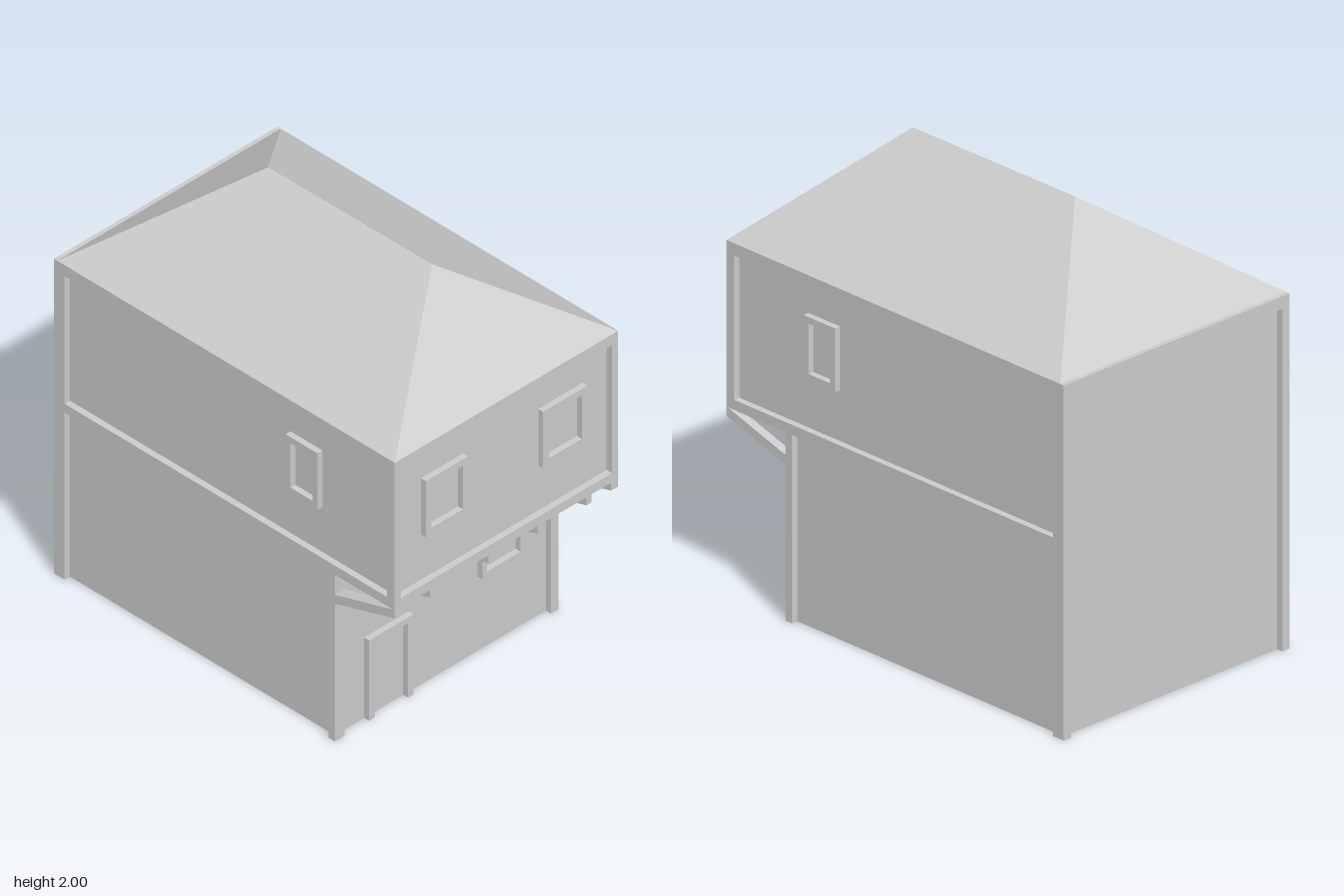
import * as THREE from 'three';

const material = new THREE.MeshStandardMaterial({ color: 0xcccccc, flatShading: true, side: THREE.DoubleSide });

export function createModel() {
  const house = new THREE.Group();
  house.name = 'house';

  const add = (name, geometry) => {
    const mesh = new THREE.Mesh(geometry, material);
    mesh.name = name;
    house.add(mesh);
    return mesh;
  };
  // Box given by its limits on each axis
  const block = (name, x0, x1, y0, y1, z0, z1) =>
    add(name, new THREE.BoxGeometry(x1 - x0, y1 - y0, z1 - z0))
      .position.set((x0 + x1) / 2, (y0 + y1) / 2, (z0 + z1) / 2);

  const L = -0.97, R = 0.965, RL = 0.625, D = 0.63; // outer limits of the timber frame
  const T = 0.03;                                   // wall recess
  const eave = 1.565, floor = 0.83;

  // Recessed walls of both storeys
  block('lowerWalls', L + T, RL - T, 0, floor + 0.01, -D + T, D - T);
  block('upperWalls', L + T, R - T, floor, eave, -D + T, D - T);

  // Corner posts and long beams, mirrored front to back
  for (const s of [1, -1]) {
    const bar = (name, x0, x1, y0, y1, depth) =>
      block(name, x0, x1, y0, y1, s > 0 ? D - depth : -D, s > 0 ? D : -D + depth);
    bar('leftPost', L, -0.908, 0, eave, 0.04);
    bar('lowerRightPost', 0.588, RL, 0, floor, s > 0 ? 0.055 : 0.04);
    bar('upperRightPost', 0.922, R, floor, eave, 0.036);
    bar('floorBeam', L, R, floor, 0.875, 0.036);
    bar('eaveBeam', L, R, 1.51, eave, 0.036);
  }
  // Cross beams on the side walls
  block('rightFloorBeam', 0.922, R, floor, 0.875, -D, D);
  block('rightEaveBeam', 0.922, R, 1.51, eave, -D, D);
  block('leftEaveBeam', L, -0.92, 1.51, eave, -D, D);

  // Sloping braces under the overhang
  const profile = new THREE.Shape([
    [RL - T, 0.677], [R, 0.79], [R, 0.832], [RL - T, 0.721],
  ].map(p => new THREE.Vector2(...p)));
  for (const [z0, z1] of [[0.575, 0.63], [0.4, 0.43], [0.075, 0.102], [-0.203, -0.176], [-0.48, -0.45], [-0.63, -0.59]]) {
    add('overhangBrace', new THREE.ExtrudeGeometry(profile, { depth: z1 - z0, bevelEnabled: false })).position.z = z0;
  }

  // Raised frame drawn in its own xy plane; a door frame has no sill
  const frame = (name, width, height, border, isDoor) => {
    const w = width / 2, iw = w - border, bottom = isDoor ? 0 : border;
    const points = isDoor
      ? [[-w, 0], [-w, height], [w, height], [w, 0], [iw, 0], [iw, height - border], [-iw, height - border], [-iw, 0]]
      : [[-w, 0], [w, 0], [w, height], [-w, height]];
    const shape = new THREE.Shape(points.map(p => new THREE.Vector2(...p)));
    if (!isDoor) {
      shape.holes.push(new THREE.Path([[-iw, bottom], [-iw, height - border], [iw, height - border], [iw, bottom]]
        .map(p => new THREE.Vector2(...p))));
    }
    return add(name, new THREE.ExtrudeGeometry(shape, { depth: 0.028, bevelEnabled: false }));
  };

  // Front and back windows
  for (const s of [1, -1]) {
    const window = frame(s > 0 ? 'frontWindow' : 'backWindow', 0.182, 0.28, 0.029);
    window.position.set(0.434, 1.1, s * (D - T));
    if (s < 0) window.rotation.y = Math.PI;
  }
  // Windows and door of the right wall: z centre, sill height, width, height, border, wall plane
  for (const [name, z, y, w, h, b, x, door] of [
    ['upperSideWindow', 0.332, 1.1, 0.24, 0.28, 0.032, R - T, false],
    ['upperSideWindow', -0.334, 1.1, 0.25, 0.28, 0.032, R - T, false],
    ['lowerSideWindow', -0.325, 0.37, 0.24, 0.29, 0.026, RL - T, false],
    ['doorFrame', 0.31, 0, 0.25, 0.4, 0.03, RL - T, true],
  ]) {
    const opening = frame(name, w, h, b, door);
    opening.position.set(x, y, z);
    opening.rotation.y = Math.PI / 2;
  }

  // Hipped roof: four eave corners and two ridge ends
  const roof = new THREE.BufferGeometry();
  roof.setAttribute('position', new THREE.Float32BufferAttribute([
    -0.95, eave, D, R, eave, D, R, eave, -D, -0.95, eave, -D,
    -0.385, 2, 0.003, 0.54, 2, -0.003,
  ], 3));
  roof.setIndex([0, 1, 5, 0, 5, 4, 1, 2, 5, 2, 3, 4, 2, 4, 5, 3, 0, 4, 0, 3, 2, 0, 2, 1]);
  const faceted = roof.toNonIndexed();
  faceted.computeVertexNormals();
  add('hippedRoof', faceted);

  return house;
}
